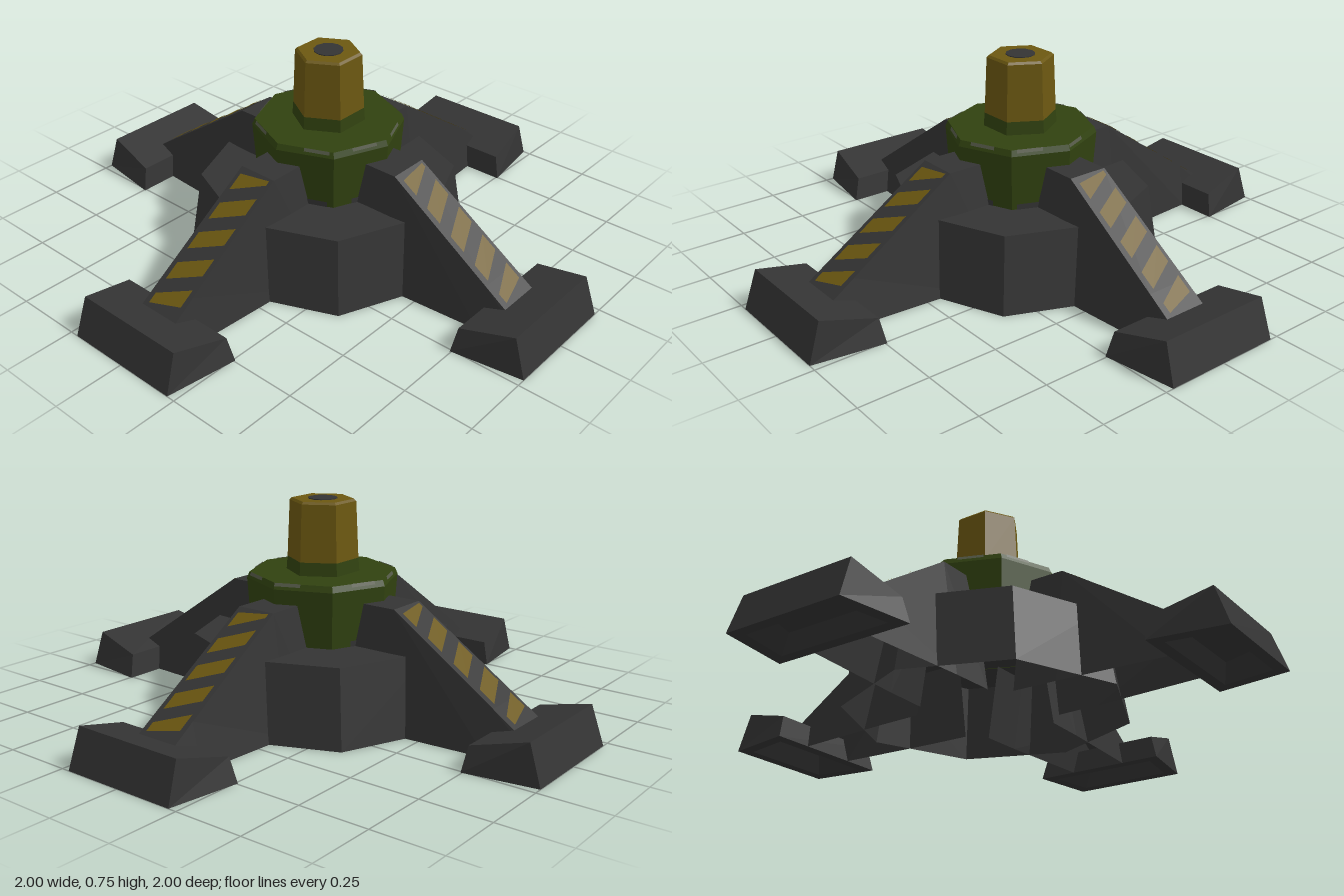
import * as THREE from 'three';

const DS = { side: THREE.DoubleSide, flatShading: true };
const steel = new THREE.MeshStandardMaterial({ color: 0x343434, ...DS });
steel.name = 'dark steel';
const green = new THREE.MeshStandardMaterial({ color: 0x314210, ...DS });
green.name = 'olive paint';
const yellow = new THREE.MeshStandardMaterial({ color: 0x6c5811, ...DS });
yellow.name = 'warning yellow';
const worn = new THREE.MeshStandardMaterial({ color: 0x555a48, ...DS });
worn.name = 'worn edge';

// Skins a list of equal-sized rings with flat quads, with optional end caps.
function loft(rings, { closed = true, capStart = false, capEnd = false } = {}) {
  const pos = [];
  const tri = (a, b, c) => pos.push(...a, ...b, ...c);
  const n = rings[0].length;
  for (let k = 0; k + 1 < rings.length; k++) {
    const a = rings[k], b = rings[k + 1];
    for (let i = 0; i < (closed ? n : n - 1); i++) {
      const j = (i + 1) % n;
      tri(a[i], a[j], b[j]);
      tri(a[i], b[j], b[i]);
    }
  }
  const first = rings[0], last = rings[rings.length - 1];
  for (let i = 1; i + 1 < n; i++) {
    if (capEnd) tri(last[0], last[i], last[i + 1]);
    if (capStart) tri(first[0], first[i + 1], first[i]);
  }
  const g = new THREE.BufferGeometry();
  g.setAttribute('position', new THREE.Float32BufferAttribute(pos, 3));
  g.computeVertexNormals();
  return g;
}

// Regular polygon corner and ring, anticlockwise seen from above.
const corner = (n, i, r, y) => {
  const a = (i / n) * Math.PI * 2;
  return [r * Math.cos(a), y, -r * Math.sin(a)];
};
const ring = (n, r, y) => Array.from({ length: n }, (_, i) => corner(n, i, r, y));

function add(parent, name, geometry, material) {
  const m = new THREE.Mesh(geometry, material);
  m.name = name;
  parent.add(m);
  return m;
}

// Four-cornered foot outline: outer edge first.
const footRing = (zo, wo, yo, zi, wi, yi) =>
  [[-wo, yo, zo], [wo, yo, zo], [wi, yi, zi], [-wi, yi, zi]];

// Open-bottomed leg cross-section at distance z from the centre.
const legSection = (z, top, halfTop, bottom, halfBottom) =>
  [[halfBottom, bottom, z], [halfTop, top, z], [-halfTop, top, z], [-halfBottom, bottom, z]];

function makeLeg() {
  const leg = new THREE.Group();
  add(leg, 'strut', loft([
    legSection(0.2, 0.42, 0.075, 0, 0.14),
    legSection(0.36, 0.42, 0.075, 0, 0.135),
    legSection(0.75, 0.159, 0.079, 0, 0.11),
    legSection(0.83, 0.105, 0.08, 0.09, 0.084),
  ], { closed: false }), steel);

  // Foot with a recess underneath
  add(leg, 'foot', loft([
    footRing(0.92, 0.13, 0.06, 0.82, 0.15, 0.05),
    footRing(0.96, 0.18, 0, 0.785, 0.21, 0),
    footRing(1, 0.22, 0, 0.745, 0.258, 0),
    footRing(0.955, 0.213, 0.138, 0.757, 0.235, 0.086),
  ], { capStart: true, capEnd: true }), steel);

  // Diagonal hazard stripes lying on the sloping top
  const slope = 0.315 / 0.47;
  const onSlope = (x, z) => {
    const c = THREE.MathUtils.clamp(z, 0.37, 0.82);
    return [x, 0.42 - (c - 0.36) * slope + 0.004, c];
  };
  for (let i = 0; i < 5; i++) {
    const z = 0.385 + i * 0.101;
    add(leg, 'hazardStripe', loft([
      [onSlope(-0.058, z + 0.055), onSlope(0.062, z)],
      [onSlope(-0.058, z), onSlope(0.062, z - 0.055)],
    ], { closed: false }), yellow);
  }
  return leg;
}

export function createModel() {
  const model = new THREE.Group();
  model.name = 'fourLeggedMount';

  // Hollow octagonal base
  add(model, 'base', loft([ring(8, 0.505, 0), ring(8, 0.46, 0.272)], { capEnd: true }), steel);

  // Four legs
  for (let i = 0; i < 4; i++) {
    const leg = makeLeg();
    leg.name = ['frontLeg', 'leftLeg', 'backLeg', 'rightLeg'][i];
    leg.rotation.y = i * Math.PI / 2;
    model.add(leg);
  }

  // Painted hub with a small chamfer
  add(model, 'hub', loft(
    [ring(8, 0.256, 0.27), ring(8, 0.27, 0.472), ring(8, 0.261, 0.493)],
    { capEnd: true }), green);

  // Scuffs on the hub: part of one facet between two heights
  const scuff = (name, i, t0, t1, r0, y0, r1, y1, mat) => {
    const at = (t, r, y) => {
      const a = corner(8, i, r, y), b = corner(8, i + 1, r, y);
      return a.map((v, k) => v + (b[k] - v) * t);
    };
    add(model, name, loft([[at(t0, r0, y0), at(t1, r0, y0)], [at(t0, r1, y1), at(t1, r1, y1)]],
      { closed: false }), mat);
  };
  for (let i = 0; i < 8; i++) {
    const t = (i * 0.37) % 0.5;
    scuff('rimWear', i, t, t + 0.45, 0.268, 0.483, 0.2635, 0.4945, worn);
    scuff('hubScuff', i, t, t + 0.4, 0.2585, 0.272, 0.2595, 0.292, steel);
  }

  // Hexagonal post with a green collar and a dark bore
  add(model, 'postCollar', loft([ring(6, 0.131, 0.49), ring(6, 0.127, 0.54)]), green);
  add(model, 'post', loft(
    [ring(6, 0.127, 0.54), ring(6, 0.118, 0.742), ring(6, 0.11, 0.75)],
    { capEnd: true }), yellow);
  add(model, 'bore', loft([ring(12, 0.052, 0.75), ring(12, 0.052, 0.753)], { capEnd: true }), steel);

  return model;
}
